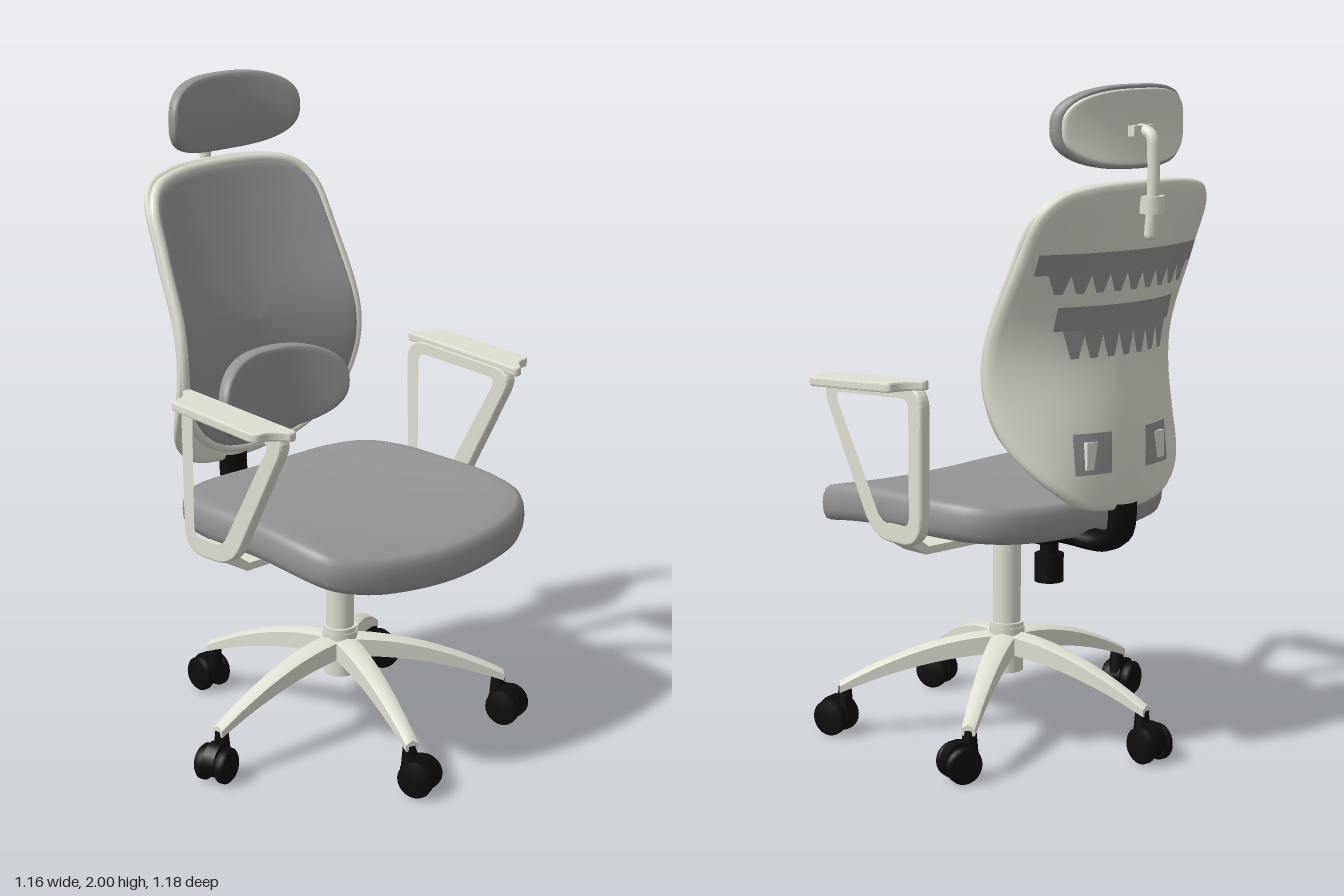
import * as THREE from 'three';

const mat = (name, color) => {
  const m = new THREE.MeshStandardMaterial({ color });
  m.name = name;
  return m;
};
const V2 = (x, y) => new THREE.Vector2(x, y);
const V3 = (x, y, z) => new THREE.Vector3(x, y, z);

// Smooth outline, mirrored left to right, from half points listed top to bottom (on-axis ends)
function mirroredOutline(half, n = 72) {
  const left = half.map(([x, y]) => V3(-x, y, 0));
  const right = half.slice(1, -1).reverse().map(([x, y]) => V3(x, y, 0));
  return new THREE.CatmullRomCurve3([...left, ...right], true).getPoints(n).slice(0, n).map(p => [p.x, p.y]);
}
function superEllipse(a, b, e, n = 64) {
  return Array.from({ length: n }, (_, i) => {
    const t = (i / n) * Math.PI * 2, c = Math.cos(t), s = Math.sin(t);
    return [a * Math.sign(c) * Math.abs(c) ** e, b * Math.sign(s) * Math.abs(s) ** e];
  });
}
// Rounded slab: rings of an outline pass from the front centre over the rim to the back centre
const RINGS = [[0, 0], [.15, 0], [.3, 0], [.45, 0], [.6, 0], [.75, 0], [.87, 0], [.95, .02], [.98, .1], [.995, .28],
  [1, .5], [.995, .75], [.98, .93], [.95, 1], [.87, 1], [.75, 1], [.6, 1], [.45, 1], [.3, 1], [.15, 1], [0, 1]];
function slab(outline, place) {
  const n = outline.length, pos = [], idx = [];
  RINGS.forEach(([r, h], i) => outline.forEach(([x, y], j) => {
    pos.push(...place(x * r, y * r, h));
    if (i === RINGS.length - 1) return;
    const a = i * n + j, d = i * n + (j + 1) % n;
    idx.push(a, a + n, d + n, a, d + n, d);
  }));
  const g = new THREE.BufferGeometry();
  g.setAttribute('position', new THREE.Float32BufferAttribute(pos, 3));
  g.setIndex(idx);
  g.computeVertexNormals();
  return g;
}
// Polygon with rounded corners
function roundedPath(path, pts, k) {
  const v = pts.map(p => V2(...p));
  v.forEach((p, i) => {
    const near = q => q.clone().sub(p).setLength(k).add(p);
    const a = near(v[(i + v.length - 1) % v.length]), b = near(v[(i + 1) % v.length]);
    i ? path.lineTo(a.x, a.y) : path.moveTo(a.x, a.y);
    path.quadraticCurveTo(p.x, p.y, b.x, b.y);
  });
  path.closePath();
  return path;
}
// Curved surface from [rim depth, centre depth] pairs at heights .75, 1, 1.25, 1.5, 1.75
function dished(pairs) {
  const curve = new THREE.SplineCurve(pairs.map(q => V2(...q)));
  return (x, y) => {
    const d = curve.getPoint(THREE.MathUtils.clamp(y - .75, 0, 1));
    return d.y + (d.x - d.y) * (x / .37) ** 2;
  };
}

export function createModel() {
  const model = new THREE.Group();
  const chair = new THREE.Group();
  chair.name = 'officeChair';
  chair.position.set(-0.027, 0, 0.013);
  chair.rotation.y = THREE.MathUtils.degToRad(33);
  model.add(chair);

  const plastic = mat('light plastic', 0xdfdfd3);
  const fabric = mat('grey fabric', 0x959595);
  const black = mat('black plastic', 0x0d0d0d);

  const add = (name, geo, m, parent = chair) => {
    const mesh = new THREE.Mesh(geo, m);
    mesh.name = name;
    parent.add(mesh);
    return mesh;
  };
  const cyl = (r1, r2, y0, y1, n = 28) => new THREE.CylinderGeometry(r1, r2, y1 - y0, n).translate(0, (y0 + y1) / 2, 0);
  const box = (w, h, d, x, y, z) => new THREE.BoxGeometry(w, h, d).translate(x, y, z);

  // Gas column and hub
  add('column', cyl(.043, .043, .3, .65), plastic);
  add('hub', cyl(.055, .05, .19, .33), plastic);
  add('hubCollar', cyl(.052, .052, .33, .345), plastic);

  // Five curved legs [angle, caster swivel], each with a twin-wheel caster
  [[-20, 41], [53, -36], [124, -52], [-89, 16], [-170, -12]].forEach(([angle, swivel], i) => {
    const leg = new THREE.Group();
    leg.name = 'leg' + (i + 1);
    leg.rotation.y = THREE.MathUtils.degToRad(angle);
    chair.add(leg);
    const g = new THREE.BoxGeometry(1, 1, 1, 2, 1, 12), p = g.attributes.position;
    for (let k = 0; k < p.count; k++) {
      const t = p.getZ(k) + .5, x = p.getX(k), up = p.getY(k) > 0;
      const top = .318 - .15 * t ** 1.8 - (x ? .012 : 0);
      p.setXYZ(k, x * (.075 - .035 * t), up ? top : .25 - .115 * t ** 1.8, .02 + .497 * t);
    }
    g.computeVertexNormals();
    add('legArm', g, plastic, leg);

    const caster = new THREE.Group();
    caster.name = 'caster';
    caster.position.z = .5;
    caster.rotation.y = THREE.MathUtils.degToRad(swivel);
    leg.add(caster);
    add('casterStem', cyl(.02, .026, .08, .15, 16), black, caster);
    add('casterHood', new THREE.CylinderGeometry(.054, .054, .04, 20).rotateZ(Math.PI / 2).translate(0, .066, .03), black, caster);
    for (const s of [-1, 1]) {
      const prof = [[0, -.017], [.046, -.017], [.055, -.008], [.055, .008], [.046, .017], [0, .017]].map(q => V2(...q));
      add('casterWheel', new THREE.LatheGeometry(prof, 24).rotateZ(Math.PI / 2).translate(s * .034, .055, .033), black, caster);
    }
  });

  // Tilt mechanism, tension knob and curved arm to the backrest
  add('tiltMechanism', box(.16, .06, .36, 0, .665, -.06), black);
  add('tensionKnob', cyl(.044, .044, .505, .59).translate(0, 0, -.185), black);
  add('knobStem', cyl(.028, .028, .58, .66).translate(0, 0, -.185), black);
  const spine = new THREE.CatmullRomCurve3([V3(0, .665, -.15), V3(0, .665, -.3), V3(0, .668, -.42), V3(0, .70, -.475), V3(0, .75, -.487), V3(0, .795, -.487)]);
  add('backSupport', new THREE.TubeGeometry(spine, 28, .032, 14).scale(1.6, 1, 1), black);

  // Seat cushion, dished and drooping toward the front
  const seatOutline = mirroredOutline([[0, .42], [.28, .40], [.39, .33], [.434, .2], [.437, .0], [.44, -.24],
    [.41, -.335], [.32, -.395], [.19, -.425], [0, -.44]]);
  const seatPlace = (x, q, h) => {
    const z = .05 - q, f = Math.max(0, (z - .05) / .44);
    return [x, .787 + .12 * x * x - .06 * f * f - .112 * h, z];
  };
  add('seat', slab(seatOutline, seatPlace), fabric);

  // Cross bar joining the armrests below the seat
  const bar = new THREE.Shape();
  [[-.48, .72], [-.47, .675], [-.40, .632], [.40, .632], [.47, .675], [.48, .72], [.455, .72], [.44, .69], [.39, .655], [-.39, .655], [-.44, .69], [-.455, .72]]
    .forEach(([x, y], i) => i ? bar.lineTo(x, y) : bar.moveTo(x, y));
  add('armCrossBar', new THREE.ExtrudeGeometry(bar, { depth: .1, bevelEnabled: false }).translate(0, 0, -.08), plastic);

  // Armrests: looped frame and forward-sloping flat pad with hollowed ends
  for (const s of [-1, 1]) {
    const side = s > 0 ? 'left' : 'right';
    const loop = roundedPath(new THREE.Shape(), [[-.155, 1.145], [.285, 1.118], [.05, .68], [-.148, .68]], .075);
    loop.holes.push(roundedPath(new THREE.Path(), [[-.108, 1.108], [.222, 1.09], [.015, .73], [-.108, .73]], .035));
    const loopGeo = new THREE.ExtrudeGeometry(loop, { depth: .012, bevelThickness: .014, bevelSize: .008, bevelSegments: 4, curveSegments: 8 });
    add(side + 'ArmFrame', loopGeo.rotateY(-Math.PI / 2).translate(s * .472 + .006, 0, 0), plastic);
    const pad = new THREE.Shape();
    pad.moveTo(s * .458, -.15);
    pad.quadraticCurveTo(s * .465, -.165, s * .48, -.155);
    pad.quadraticCurveTo(s * .51, -.11, s * .555, -.11);
    pad.quadraticCurveTo(s * .568, -.11, s * .568, -.09);
    pad.lineTo(s * .57, .225);
    pad.quadraticCurveTo(s * .567, .25, s * .55, .25);
    pad.quadraticCurveTo(s * .51, .25, s * .48, .295);
    pad.quadraticCurveTo(s * .458, .305, s * .458, .28);
    pad.closePath();
    const padGeo = new THREE.ExtrudeGeometry(pad, { depth: .016, bevelThickness: .006, bevelSize: .004, bevelSegments: 2 });
    add(side + 'ArmPad', padGeo.rotateX(Math.PI / 2 + .06).translate(0, 1.15, 0), plastic);
  }

  // Backrest: outer shell, stretched cushion that comes forward at the lumbar, and its frame loop
  const backZ = dished([[-.42, -.47], [-.31, -.475], [-.29, -.45], [-.385, -.495], [-.485, -.555]]);
  const frontZ = dished([[-.40, -.36], [-.3, -.335], [-.282, -.365], [-.372, -.455], [-.47, -.535]]);
  const CY = 1.25, T = .035;
  const backOutline = mirroredOutline([[0, .483], [.2, .475], [.295, .45], [.34, .395], [.357, .27], [.37, .1],
    [.377, -.05], [.368, -.17], [.335, -.29], [.26, -.39], [.16, -.455], [0, -.475]], 96);
  add('backShell', slab(backOutline, (x, q, h) => [x, CY + q, backZ(x, CY + q) - T * h]), plastic);
  const cushionOutline = backOutline.map(([x, q]) => [x * .95, q * (q > 0 ? .955 : .82)]);
  add('backCushion', slab(cushionOutline, (x, q, h) => [x, CY + q, frontZ(x, CY + q) + .004 - .022 * h]), fabric);
  const rim = new THREE.CatmullRomCurve3(cushionOutline.map(([x, q]) => V3(x * 1.01, CY + q * 1.01, frontZ(x, CY + q) - .012)), true);
  add('backFrame', new THREE.TubeGeometry(rim, 120, .016, 8, true), plastic);

  // Vent rows and mount openings laid on the rear of the shell
  const onRear = (name, geo, x, y) => {
    geo.rotateY(Math.PI).translate(x, y, 0);
    const p = geo.attributes.position;
    for (let i = 0; i < p.count; i++) p.setZ(i, backZ(p.getX(i), p.getY(i)) - T - .006);
    geo.computeVertexNormals();
    add(name, geo, fabric);
  };
  for (const [y, w, n, h, drop] of [[1.505, .32, 9, .06, .06], [1.345, .235, 7, .07, .085]]) {
    onRear('ventSlot', new THREE.PlaneGeometry(2 * w, h, 24, 1), 0, y);
    for (let i = 0; i < n; i++) {
      const x = (i - (n - 1) / 2) * (1.75 * w / n);
      const tooth = new THREE.Shape([V2(-.034, 0), V2(-.005, -drop), V2(.018, -drop), V2(.034, 0)]);
      onRear('ventTooth', new THREE.ShapeGeometry(tooth), x, y - h / 2 + .003);
    }
  }
  for (const s of [-1, 1]) {
    onRear('mountOpening', new THREE.PlaneGeometry(.12, .12, 4, 4), s * .13, .955);
    add('lumbarMount', box(.07, .08, .05, s * .125, .95, -.475), plastic);
  }

  // Lumbar pad
  add('lumbarPad', slab(superEllipse(.262, .137, .8), (x, q, h) => [x, 1.035 + q, -.293 + 1.2 * x * x - .2 * q * q - .05 * h]), fabric);

  // Headrest with rear shell, post and clamp
  const headZ = x => -.487 + .9 * x * x;
  add('headrestPad', slab(superEllipse(.257, .119, .74), (x, q, h) => [x, 1.881 + q, headZ(x) - q * q - .042 * h]), fabric);
  add('headrestShell', slab(superEllipse(.245, .107, .74), (x, q, h) => [x, 1.881 + q, headZ(x) - q * q - .036 - .016 * h]), plastic);
  add('headrestBracket', box(.09, .03, .03, 0, 1.87, -.547), plastic);
  const post = new THREE.CatmullRomCurve3([V3(0, 1.87, -.53), V3(0, 1.87, -.56), V3(0, 1.855, -.588), V3(0, 1.80, -.594), V3(0, 1.68, -.594), V3(0, 1.58, -.585)]);
  add('headrestPost', new THREE.TubeGeometry(post, 28, .018, 12), plastic);
  add('postEnd', new THREE.SphereGeometry(.018, 12, 8).translate(0, 1.58, -.585), plastic);
  add('postClamp', cyl(.036, .036, 1.64, 1.69, 20).translate(0, 0, -.592), plastic);

  return model;
}
